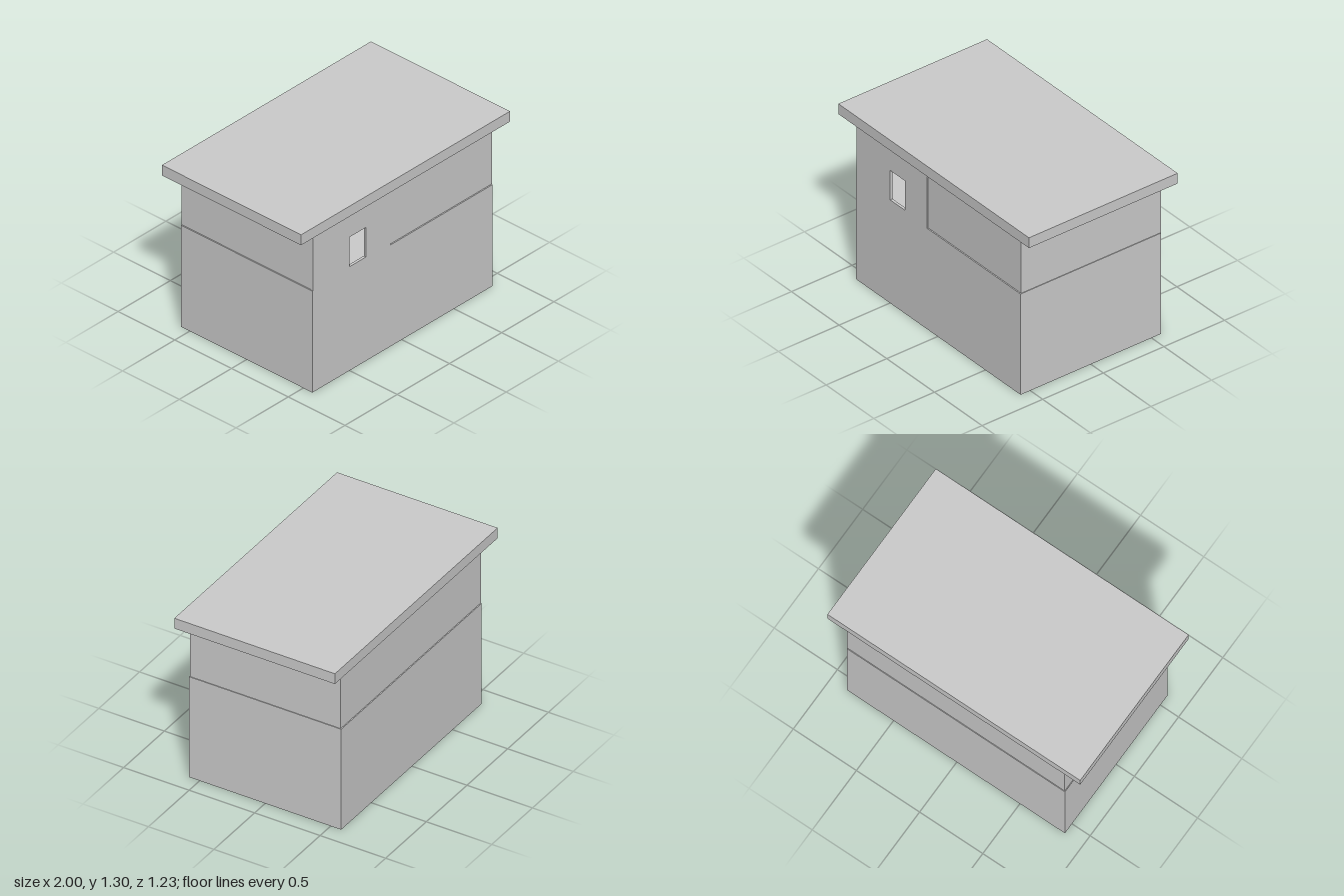
import * as THREE from 'three';

const material = new THREE.MeshStandardMaterial({ color: 0xcccccc, flatShading: true });

// Box given by its minimum and maximum corners
function block(name, [x0, y0, z0], [x1, y1, z1]) {
  const mesh = new THREE.Mesh(new THREE.BoxGeometry(x1 - x0, y1 - y0, z1 - z0), material);
  mesh.name = name;
  mesh.position.set((x0 + x1) / 2, (y0 + y1) / 2, (z0 + z1) / 2);
  return mesh;
}

function rectangle(Type, x0, y0, x1, y1) {
  const path = new Type();
  path.moveTo(x0, y0);
  path.lineTo(x1, y0);
  path.lineTo(x1, y1);
  path.lineTo(x0, y1);
  path.closePath();
  return path;
}

export function createModel() {
  const group = new THREE.Group();
  group.name = 'hut';

  const baseTop = 0.784, wallBottom = 0.788, wallTop = 1.223;
  const left = -0.852, right = 0.87, split = -0.11, t = 0.02;

  // Solid lower storey and overhanging flat roof
  group.add(block('base', [-0.856, 0, -0.58], [right, baseTop, 0.58]));
  group.add(block('roof', [-1, wallTop, -0.613], [1, 1.303, 0.613]));

  // Thin upper walls around a hollow room, with a fine joint above the base
  group.add(block('backWall', [left, wallBottom, -0.576], [right, wallTop, -0.576 + t]));
  group.add(block('rightEndWall', [left, wallBottom, -0.576 + t], [left + t, wallTop, 0.58 - t]));
  group.add(block('leftEndWall', [right - t, wallBottom, -0.576 + t], [right, wallTop, 0.575 - t]));
  group.add(block('frontPanel', [split, wallBottom, 0.575 - t], [right, wallTop, 0.575]));

  // Front wall section with the window opening
  const shape = rectangle(THREE.Shape, left, baseTop, split, wallTop);
  shape.holes.push(rectangle(THREE.Path, -0.5, 0.803, -0.342, 1.032));
  const windowWall = new THREE.Mesh(
    new THREE.ExtrudeGeometry(shape, { depth: t, bevelEnabled: false }), material);
  windowWall.name = 'windowWall';
  windowWall.position.z = 0.58 - t;
  group.add(windowWall);

  return group;
}
